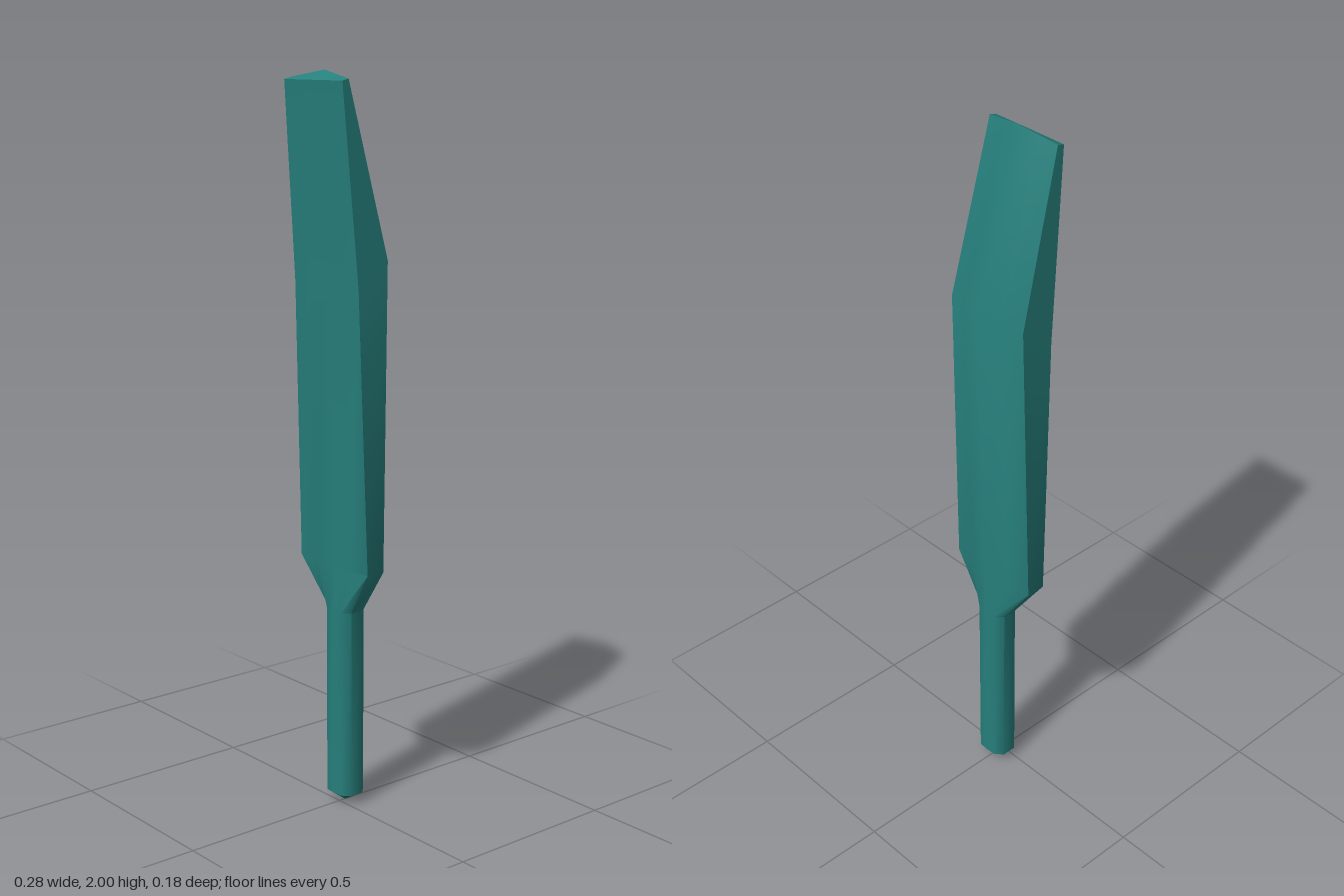
import * as THREE from 'three';
import { toCreasedNormals } from 'three/addons/utils/BufferGeometryUtils.js';

// Half outline of a handle section, from front centre round to back centre
const handle = (y) => [
  [0, y, 0.022], [0.03, y, 0.02], [0.05, y, 0], [0.05, y, -0.04], [0.03, y, -0.06], [0, y, -0.062],
];

// Half outline of a blade section: flat front, straight edge, ridged back
const blade = (w, yFront, zFront, yEdge, zEdge, yRidge, zRidge) => [
  [0, yFront, zFront], [w / 2, yFront, zFront], [w, yFront, zFront],
  [w, yEdge, zEdge],
  [w / 2, (yEdge + yRidge) / 2, (zEdge + zRidge) / 2], [0, yRidge, zRidge],
];

// Skins mirrored half outlines, closing both ends at a centre point
function loft(halves, bottom, top) {
  const rings = halves.map((h) => [...h, ...h.slice(1, -1).reverse().map(([x, y, z]) => [-x, y, z])]);
  const n = rings[0].length;
  const index = [];
  for (let r = 0; r < rings.length - 1; r++) {
    for (let i = 0; i < n; i++) {
      const a = r * n + i, b = r * n + (i + 1) % n;
      index.push(a, b, b + n, a, b + n, a + n);
    }
  }
  const low = rings.length * n, high = low + 1, last = low - n;
  for (let i = 0; i < n; i++) {
    const j = (i + 1) % n;
    index.push(low, j, i, high, last + i, last + j);
  }
  const geometry = new THREE.BufferGeometry();
  const points = [...rings.flat(), bottom, top].flat();
  geometry.setAttribute('position', new THREE.Float32BufferAttribute(points, 3));
  geometry.setIndex(index);
  return toCreasedNormals(geometry, 0.9);
}

export function createModel() {
  const group = new THREE.Group();
  group.name = 'bat';
  const material = new THREE.MeshStandardMaterial({ color: 0x267f7c });

  // Handle, shoulders and swelling blade in one continuous skin
  const sections = [
    handle(0.03),
    handle(0.56),
    blade(0.14, 0.69, 0.02, 0.69, -0.035, 0.69, -0.065),
    blade(0.13, 1.45, 0.045, 1.52, -0.053, 1.56, -0.09),
    blade(0.117, 1.975, 0.088, 1.98, 0.068, 2, 0.05),
  ];
  const body = new THREE.Mesh(loft(sections, [0, 0, -0.02], [0, 1.988, 0.069]), material);
  body.name = 'handleAndBlade';
  group.add(body);
  return group;
}
